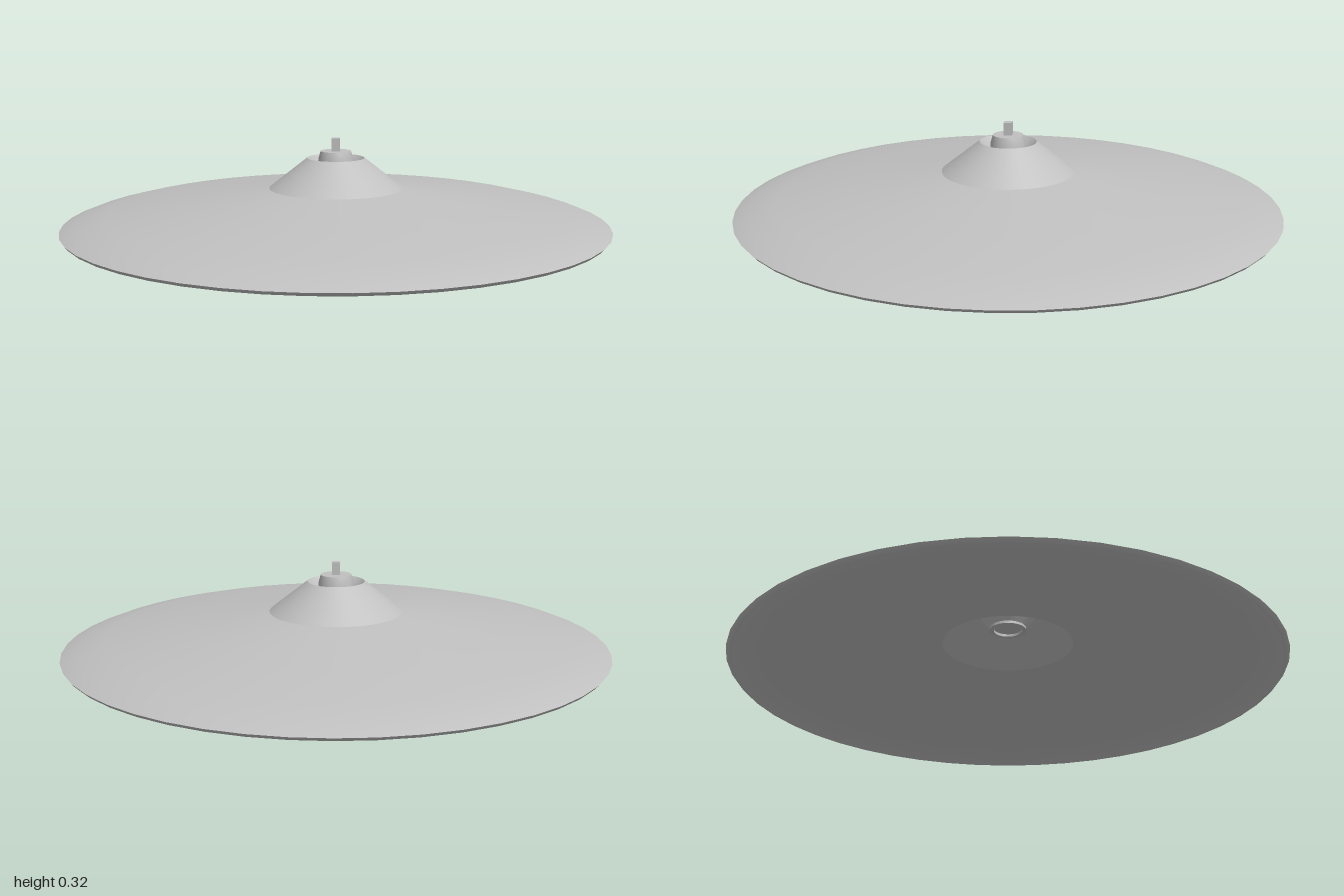
import * as THREE from 'three';

const SEGMENTS = 48;

export function createModel() {
  const model = new THREE.Group();
  model.name = 'pendantShade';
  const metal = new THREE.MeshStandardMaterial({ color: 0xc0c0c0 });
  metal.name = 'light grey metal';

  // Each profile is smooth along its length; separate profiles meet in sharp edges.
  function turn(parent, name, points) {
    const profile = points.map(([r, y]) => new THREE.Vector2(r, y));
    const mesh = new THREE.Mesh(new THREE.LatheGeometry(profile, SEGMENTS), metal);
    mesh.name = name;
    parent.add(mesh);
  }

  function part(name) {
    const group = new THREE.Group();
    group.name = name;
    model.add(group);
    return group;
  }

  // Wide shallow dish with a thin rolled-in rim
  const dish = part('dish');
  turn(dish, 'dishTop', [[1, 0.012], [0.95, 0.032], [0.84, 0.06], [0.6, 0.095], [0.245, 0.142]]);
  turn(dish, 'dishUnderside', [[0.24, 0.134], [0.6, 0.087], [0.84, 0.051], [0.94, 0.025], [0.98, 0]]);
  turn(dish, 'dishRim', [[0.98, 0], [0.99, 0], [1, 0.012]]);

  // Conical neck, hollow underneath
  const neck = part('neck');
  turn(neck, 'neckOutside', [[0.245, 0.142], [0.105, 0.253]]);
  turn(neck, 'neckInside', [[0.1, 0.245], [0.24, 0.134]]);

  // Funnel sinking from the neck opening to the hub
  const funnel = part('funnel');
  turn(funnel, 'funnelTop', [[0.105, 0.253], [0.062, 0.205]]);
  turn(funnel, 'funnelUnderside', [[0.066, 0.198], [0.1, 0.245]]);

  // Tapered hub, with a shallow recess below
  const hub = part('hub');
  turn(hub, 'hubRecess', [[0, 0.2], [0.052, 0.2]]);
  turn(hub, 'hubRecessWall', [[0.052, 0.2], [0.052, 0.19]]);
  turn(hub, 'hubBase', [[0.052, 0.19], [0.068, 0.19]]);
  turn(hub, 'hubSide', [[0.068, 0.19], [0.064, 0.25], [0.056, 0.278]]);
  turn(hub, 'hubTop', [[0.056, 0.278], [0, 0.278]]);

  // Square stem on top of the hub
  const stem = new THREE.Mesh(new THREE.BoxGeometry(0.03, 0.055, 0.03), metal);
  stem.name = 'stem';
  stem.position.y = 0.2975;
  model.add(stem);

  return model;
}
